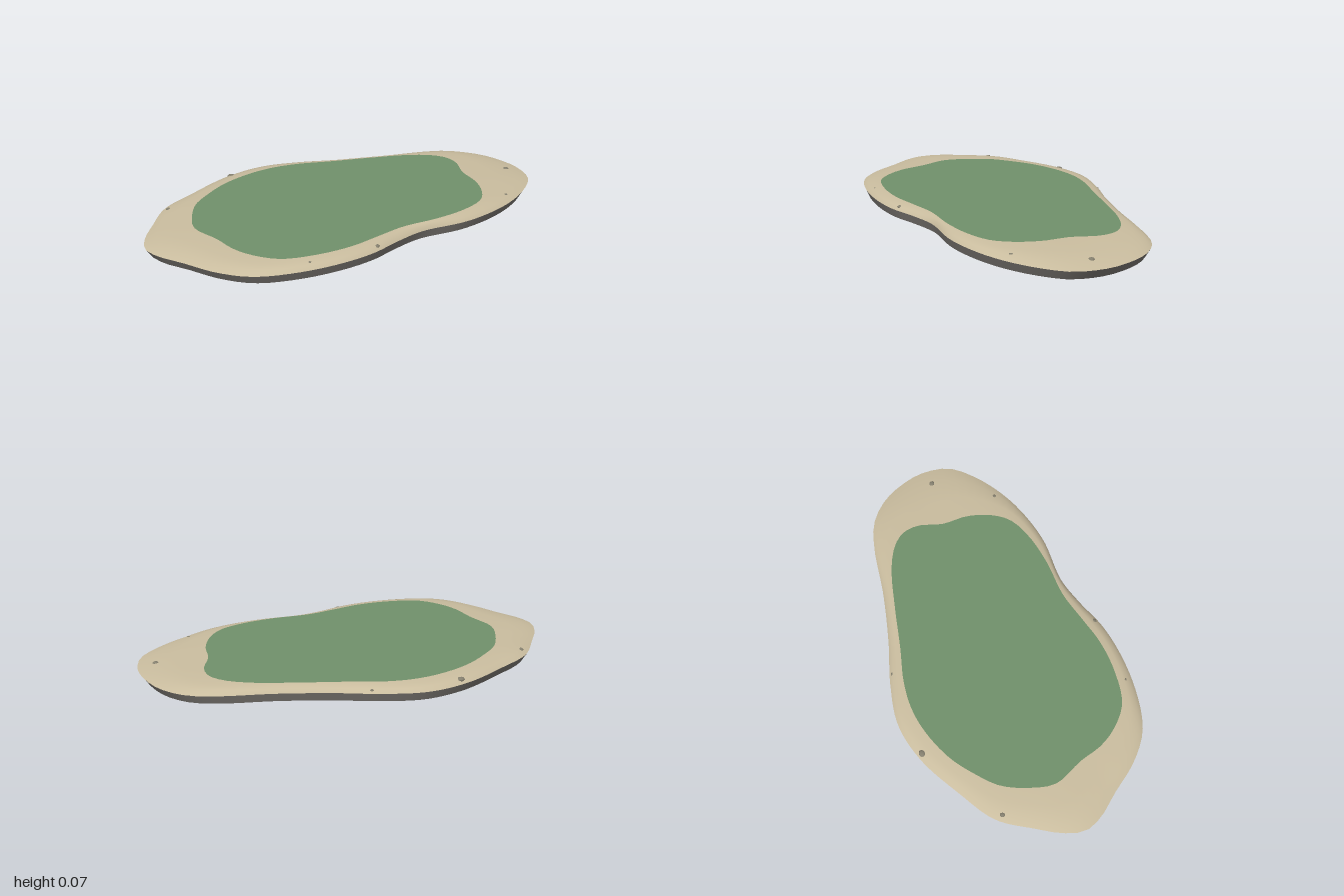
import * as THREE from 'three';

const SEGMENTS = 120;

// Coastline and lawn edge, as x, z pairs going round the island
const COAST = [
  -1, 0.04, -0.97, -0.06, -0.9, -0.17, -0.79, -0.32, -0.62, -0.42, -0.4, -0.525, -0.2, -0.56,
  0, -0.52, 0.2, -0.45, 0.45, -0.38, 0.7, -0.33, 0.83, -0.28, 0.93, -0.18, 0.985, -0.05,
  1, 0.06, 0.97, 0.19, 0.88, 0.285, 0.75, 0.37, 0.6, 0.43, 0.4, 0.467, 0.17, 0.457,
  0.02, 0.49, -0.13, 0.537, -0.3, 0.555, -0.5, 0.54, -0.68, 0.485, -0.8, 0.38, -0.9, 0.23, -0.97, 0.13];
const LAWN = [
  -0.755, 0, -0.72, -0.13, -0.66, -0.24, -0.57, -0.32, -0.45, -0.4, -0.29, -0.457, -0.155, -0.473,
  -0.02, -0.457, 0.14, -0.41, 0.35, -0.355, 0.54, -0.297, 0.65, -0.238, 0.705, -0.174, 0.715, -0.088,
  0.675, 0.03, 0.665, 0.163, 0.62, 0.28, 0.555, 0.355, 0.43, 0.404, 0.27, 0.425, 0.085, 0.425,
  -0.075, 0.457, -0.21, 0.484, -0.37, 0.484, -0.53, 0.447, -0.62, 0.366, -0.675, 0.27, -0.705, 0.147];

// Smooth closed outline, resampled at even angles so that rings line up
function outline(flat) {
  const pts = [];
  for (let i = 0; i < flat.length; i += 2) pts.push(new THREE.Vector3(flat[i], 0, flat[i + 1]));
  const samples = new THREE.CatmullRomCurve3(pts, true).getPoints(1200);
  return Array.from({ length: SEGMENTS }, (_, i) => {
    const a = (i / SEGMENTS) * Math.PI * 2;
    const c = Math.cos(a), s = Math.sin(a);
    let best = samples[0], score = -2;
    for (const p of samples) {
      const d = (p.x * c + p.z * s) / Math.hypot(p.x, p.z);
      if (d > score) { score = d; best = p; }
    }
    return best.clone();
  });
}

const atHeight = (ring, y, scale = 1) => ring.map(p => new THREE.Vector3(p.x * scale, y, p.z * scale));
const blend = (a, b, t, y) => a.map((p, i) => p.clone().lerp(b[i], t).setY(y));

// Surface through a stack of rings, lowest first
function loft(rings) {
  const index = [];
  for (let r = 0; r < rings.length - 1; r++) {
    for (let i = 0; i < SEGMENTS; i++) {
      const j = (i + 1) % SEGMENTS;
      const a = r * SEGMENTS + i, b = r * SEGMENTS + j;
      index.push(a, a + SEGMENTS, b, b, a + SEGMENTS, b + SEGMENTS);
    }
  }
  const geo = new THREE.BufferGeometry().setFromPoints(rings.flat());
  geo.setIndex(index);
  geo.computeVertexNormals();
  return geo;
}

export function createModel() {
  const group = new THREE.Group();
  const material = (name, color) => {
    const m = new THREE.MeshStandardMaterial({ color, side: THREE.DoubleSide });
    m.name = name;
    return m;
  };
  const grass = material('grass', 0x71916b);
  const sand = material('sand', 0xcabd9f);
  const rock = material('rock', 0x7a7671);
  const stone = material('stone', 0x85806f);

  const add = (name, geo, mat) => {
    const mesh = new THREE.Mesh(geo, mat);
    mesh.name = name;
    group.add(mesh);
    return mesh;
  };

  const coast = outline(COAST), lawn = outline(LAWN);

  // Open-bottomed rock skirt, leaning inwards towards the base
  add('rockSkirt', loft([atHeight(coast, 0, 0.97), atHeight(coast, 0.043)]), rock);

  // Beach rising from the coast to the lawn
  add('beach', loft([
    atHeight(coast, 0.043),
    blend(coast, lawn, 0.25, 0.06),
    blend(coast, lawn, 0.6, 0.068),
    atHeight(lawn, 0.072),
  ]), sand);

  // Flat lawn
  const shape = new THREE.Shape(lawn.map(p => new THREE.Vector2(p.x, -p.z)));
  add('lawn', new THREE.ShapeGeometry(shape).rotateX(-Math.PI / 2).translate(0, 0.072, 0), grass);

  // Pebbles half sunk in the beach: x, y, z, radius
  const pebbles = [
    [-0.375, 0.057, -0.507, 0.018], [-0.785, 0.056, -0.28, 0.013], [0.915, 0.058, 0.072, 0.015],
    [0.72, 0.057, 0.335, 0.013], [-0.43, 0.058, 0.508, 0.018], [-0.1, 0.056, 0.507, 0.015],
    [0.04, 0.054, -0.488, 0.012], [0.685, 0.057, -0.298, 0.011],
  ];
  pebbles.forEach(([x, y, z, r], i) => {
    const mesh = add('pebble', new THREE.IcosahedronGeometry(r, 1), stone);
    mesh.position.set(x, y, z);
    mesh.scale.set(1, 0.5, 0.9);
    mesh.rotation.y = i * 1.3;
  });

  return group;
}
